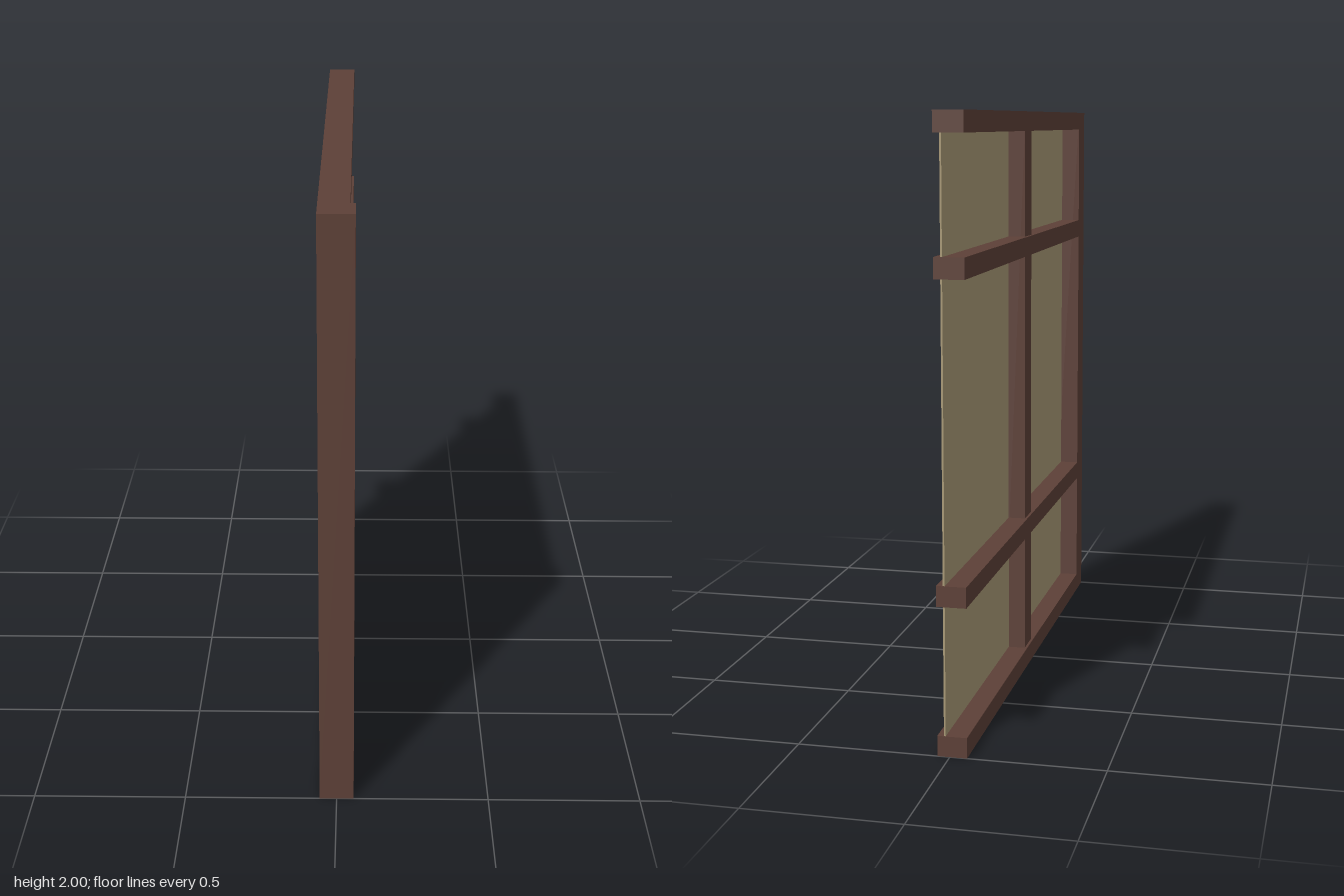
import * as THREE from 'three';

const brown = new THREE.MeshStandardMaterial({ color: 0x5d4037 });
brown.name = 'dark brown wood';
const tan = new THREE.MeshStandardMaterial({ color: 0xa89976 });
tan.name = 'tan panel';

// Box given by its lower and upper limits on each axis
function block(name, material, [x0, x1], [y0, y1], [z0, z1]) {
  const mesh = new THREE.Mesh(new THREE.BoxGeometry(x1 - x0, y1 - y0, z1 - z0), material);
  mesh.position.set((x0 + x1) / 2, (y0 + y1) / 2, (z0 + z1) / 2);
  mesh.name = name;
  return mesh;
}

export function createModel() {
  const group = new THREE.Group();
  group.name = 'timberWallPanel';

  const postZ = 0.887;
  const railHeight = 0.067;

  // Thick post at the front end
  group.add(block('post', brown, [-0.056, 0.056], [0, 2], [postZ, 1]));

  // Four horizontal rails running back from the post
  const rails = { bottomRail: 0, lowerRail: 0.486, upperRail: 1.5, topRail: 2 - railHeight };
  for (const [name, y] of Object.entries(rails)) {
    group.add(block(name, brown, [-0.056, 0.04], [y, y + railHeight], [-1, postZ]));
  }

  // Middle upright, set slightly behind the rail faces
  group.add(block('middleUpright', brown, [-0.047, 0.03], [0.03, 1.97], [-0.107, -0.003]));

  // Thin infill panel
  group.add(block('infillPanel', tan, [0.013, 0.019], [0.03, 1.97], [-0.998, postZ + 0.02]));

  return group;
}
